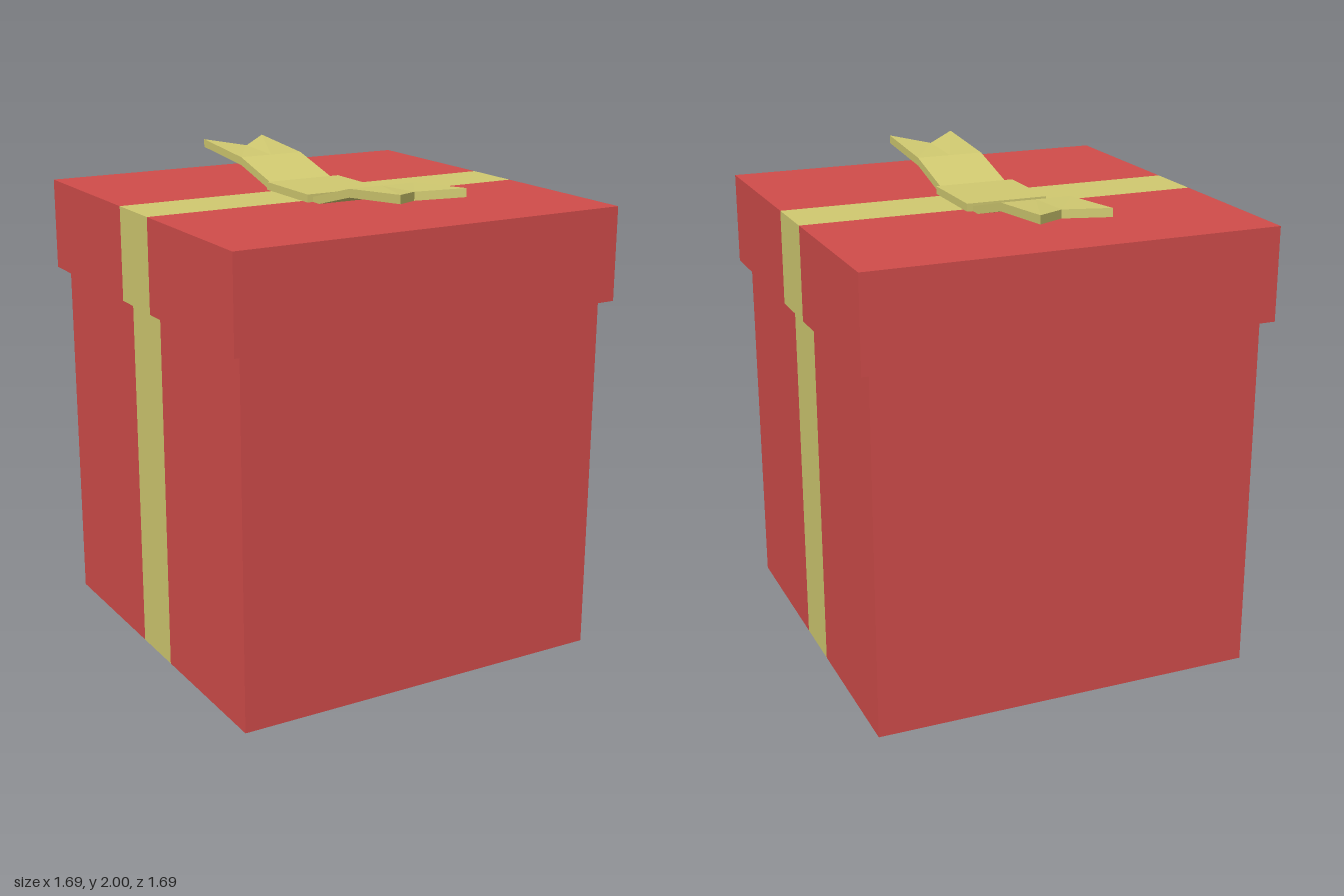
import * as THREE from 'three';

export function createModel() {
  const red = new THREE.MeshStandardMaterial({ color: 0xd04c4a });
  red.name = 'red paper';
  const yellow = new THREE.MeshStandardMaterial({ color: 0xd0c970 });
  yellow.name = 'yellow ribbon';

  const model = new THREE.Group();
  model.name = 'giftBox';
  const ribbonHalf = 0.13;

  // Square box whose middle strip of faces (sides, top, bottom) is ribbon
  function wrappedBox(name, half, bottom, top) {
    const geometry = new THREE.BoxGeometry(2 * half, top - bottom, 2 * half, 1, 1, 3);
    const p = geometry.attributes.position;
    for (let i = 0; i < p.count; i++) {
      const z = p.getZ(i);
      if (Math.abs(z) < half * 0.9) p.setZ(i, Math.sign(z) * ribbonHalf);
    }
    geometry.clearGroups();
    for (let face = 0; face < 4; face++) {
      for (let strip = 0; strip < 3; strip++) {
        geometry.addGroup(face * 18 + strip * 6, 6, strip === 1 ? 1 : 0);
      }
    }
    geometry.addGroup(72, 12, 0); // plain front and back
    const mesh = new THREE.Mesh(geometry, [red, yellow]);
    mesh.name = name;
    mesh.position.y = (bottom + top) / 2;
    model.add(mesh);
  }
  wrappedBox('boxBody', 0.803, 0, 1.492);
  wrappedBox('boxLid', 0.845, 1.492, 1.873);

  // Flat knot on the lid
  const bow = new THREE.Group();
  bow.name = 'bow';
  const knot = new THREE.Mesh(new THREE.BoxGeometry(0.34, 0.036, 0.34), yellow);
  knot.name = 'bowKnot';
  knot.position.y = 1.887;
  bow.add(knot);

  // Rising ribbon tail with a swallow-tail notch at its tip
  const thickness = 0.034;
  let tail = new THREE.BoxGeometry(0.29, thickness, 2, 2, 1, 2);
  const p = tail.attributes.position;
  for (let i = 0; i < p.count; i++) {
    const row = Math.round(p.getZ(i)) + 1;
    let [z, y] = [[0.16, 1.891], [0.45, 1.968], [0.81, 2]][row];
    if (row === 2 && Math.abs(p.getX(i)) < 0.01) [z, y] = [0.68, 1.979];
    p.setY(i, p.getY(i) > 0 ? y : y - thickness);
    p.setZ(i, z);
  }
  tail = tail.toNonIndexed();
  tail.computeVertexNormals();

  ['frontTail', 'backTail'].forEach((name, i) => {
    const mesh = new THREE.Mesh(tail, yellow);
    mesh.name = name;
    mesh.rotation.y = i * Math.PI;
    bow.add(mesh);
  });
  model.add(bow);

  return model;
}
